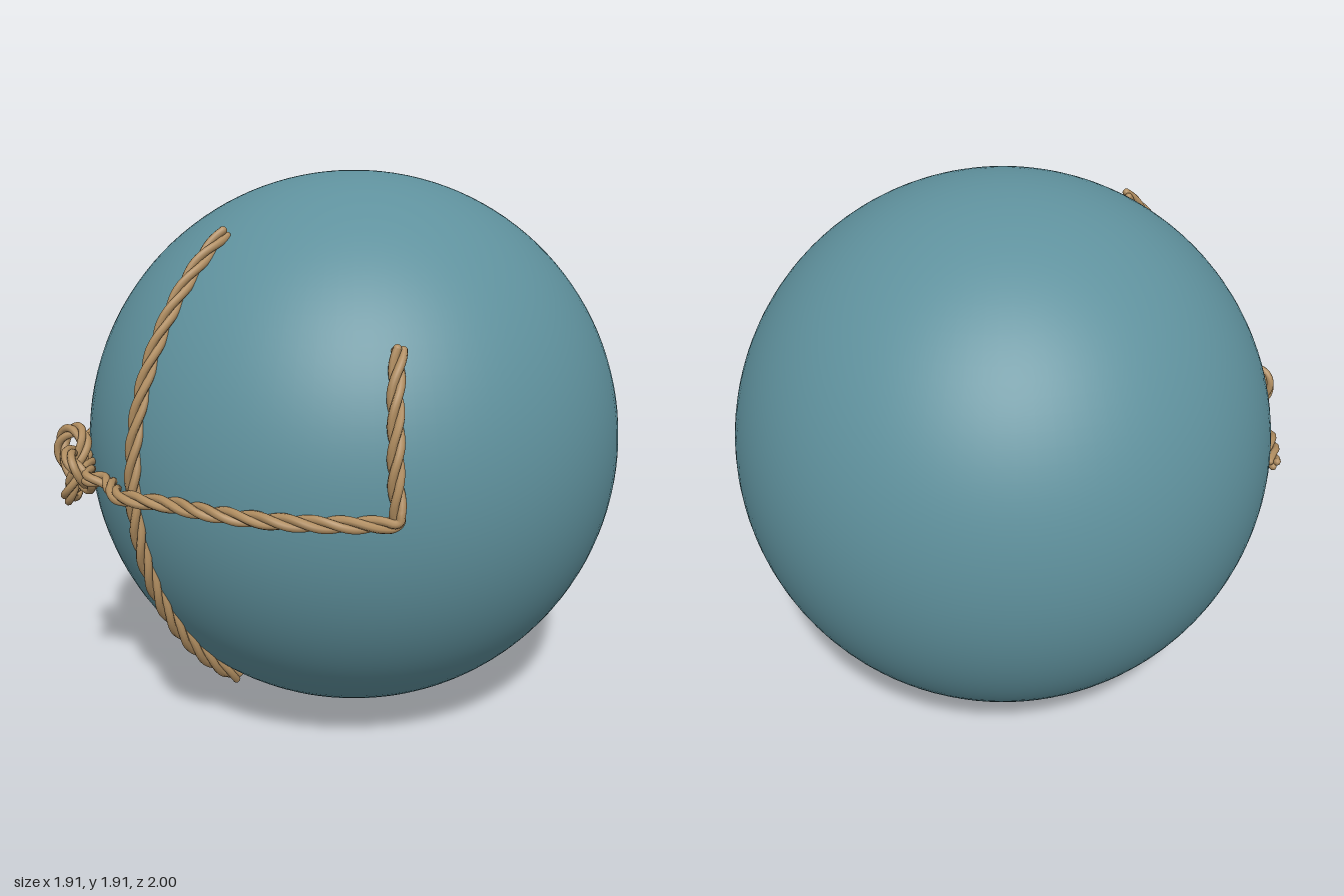
import * as THREE from 'three';

const CENTER = new THREE.Vector3(0, 0.954, -0.046);
const BALL_R = 0.954;
const LAY_R = 0.968; // rope centreline distance from the ball centre

// Three strands laid helically around a centreline
function makeRope(name, curve, turns, segments, material, closed = false) {
  const rope = new THREE.Group();
  rope.name = name;
  const frames = curve.computeFrenetFrames(segments, closed);
  const strandR = 0.0135, offset = 0.0135;
  for (let s = 0; s < 3; s++) {
    const points = [];
    const count = closed ? segments - 1 : segments;
    for (let i = 0; i <= count; i++) {
      const a = (i / segments) * turns * Math.PI * 2 + (s * Math.PI * 2) / 3;
      points.push(curve.getPointAt(i / segments)
        .addScaledVector(frames.normals[i], Math.cos(a) * offset)
        .addScaledVector(frames.binormals[i], Math.sin(a) * offset));
    }
    const path = new THREE.CatmullRomCurve3(points, closed);
    path.arcLengthDivisions = segments * 4;
    const strand = new THREE.Mesh(new THREE.TubeGeometry(path, segments, strandR, 8, closed), material);
    strand.name = name + 'Strand';
    rope.add(strand);
    // Rounded strand ends
    if (!closed) {
      for (const p of [points[0], points[points.length - 1]]) {
        const tip = new THREE.Mesh(new THREE.SphereGeometry(strandR, 8, 6), material);
        tip.name = name + 'End';
        tip.position.copy(p);
        rope.add(tip);
      }
    }
  }
  return rope;
}

// Point in front of the ball at the given x and y
function onBall(x, y, r = LAY_R) {
  const dy = y - CENTER.y;
  return new THREE.Vector3(x, y, CENTER.z + Math.sqrt(r * r - x * x - dy * dy));
}

export function createModel() {
  const model = new THREE.Group();
  const ballPaint = new THREE.MeshStandardMaterial({ color: 0x5f919d });
  ballPaint.name = 'slate teal';
  const ropeTan = new THREE.MeshStandardMaterial({ color: 0xb08d60 });
  ropeTan.name = 'rope tan';

  // Ball
  const ball = new THREE.Mesh(new THREE.SphereGeometry(BALL_R, 96, 64), ballPaint);
  ball.name = 'ball';
  ball.position.copy(CENTER);
  model.add(ball);

  // Upright rope, an arc over the front
  const upright = [];
  for (let i = 0; i <= 16; i++) {
    const a = THREE.MathUtils.lerp(0.925, -0.925, i / 16);
    upright.push(new THREE.Vector3(0, CENTER.y + Math.sin(a) * LAY_R, CENTER.z + Math.cos(a) * LAY_R));
  }
  model.add(makeRope('uprightRope', new THREE.CatmullRomCurve3(upright), 6, 200, ropeTan));

  // Cross rope: through the knot, over the upright rope, then a sharp turn upward
  const y = 0.955;
  const cross = [
    ...[-0.77, -0.68, -0.58, -0.48, -0.38].map((x) => onBall(x, y)),
    new THREE.Vector3(-0.3, y, 0.9),
    new THREE.Vector3(-0.24, 0.95, 0.935),
    new THREE.Vector3(-0.18, 0.948, 0.906),
    new THREE.Vector3(-0.1, 0.95, 0.935),
    new THREE.Vector3(0, 0.953, 0.972),
    new THREE.Vector3(0.09, y, 0.945),
    ...[0.18, 0.3, 0.42, 0.54, 0.66, 0.74, 0.762].map((x) => onBall(x, y)),
    ...[[0.77, 0.965], [0.768, 0.99], [0.758, 1.09], [0.74, 1.21], [0.71, 1.33], [0.678, 1.435]]
      .map(([px, py]) => onBall(px, py)),
  ];
  model.add(makeRope('crossRope', new THREE.CatmullRomCurve3(cross), 9, 340, ropeTan));

  // Knot: a three-lobed loop lying against the ball
  const loop = [];
  for (let i = 0; i < 60; i++) {
    const t = (i / 60) * Math.PI * 2;
    const u = Math.sin(t) + 2 * Math.sin(2 * t);
    const v = Math.cos(t) - 2 * Math.cos(2 * t);
    loop.push(new THREE.Vector3(-v * 0.039, u * 0.043, -Math.sin(3 * t) * 0.03));
  }
  const knot = makeRope('knot', new THREE.CatmullRomCurve3(loop, true), 4, 200, ropeTan, true);
  knot.position.set(-0.375, 0.952, 0.9);
  knot.rotation.y = -0.36;
  model.add(knot);

  return model;
}
